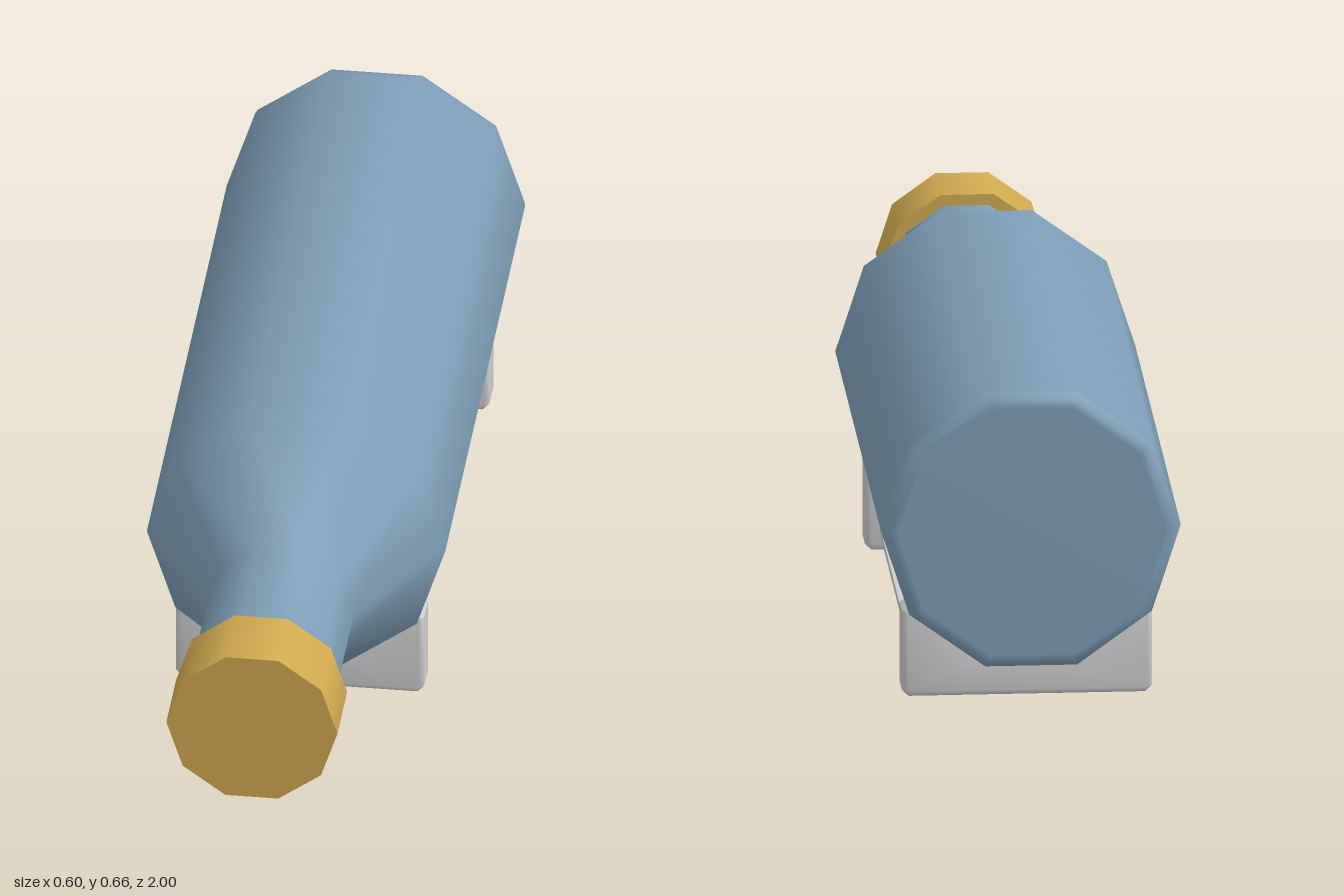
import * as THREE from 'three';
import { toCreasedNormals } from 'three/addons/utils/BufferGeometryUtils.js';

const SIDES = 10;
const AXIS_Y = 0.377;

export function createModel() {
  const model = new THREE.Group();
  const glass = new THREE.MeshStandardMaterial({ color: 0x7d9db5 });
  const gold = new THREE.MeshStandardMaterial({ color: 0xd0aa50 });
  const grey = new THREE.MeshStandardMaterial({ color: 0xcccccc });

  function add(name, geometry, material, x, y, z) {
    const mesh = new THREE.Mesh(geometry, material);
    mesh.name = name;
    mesh.position.set(x, y, z);
    model.add(mesh);
  }

  // Bottle lying along z: rounded base, straight body, shoulder and neck
  const profile = [
    [0, -1], [0.268, -1], [0.284, -0.996], [0.296, -0.985], [0.3, -0.968],
    [0.3, 0.31], [0.148, 0.56], [0.148, 0.87],
  ].map(([r, h]) => new THREE.Vector2(r, h));
  const bottle = new THREE.LatheGeometry(profile, SIDES, Math.PI / 2);
  bottle.rotateX(Math.PI / 2);
  add('bottle', bottle, glass, 0, AXIS_Y, 0);

  // Cap over the end of the neck
  const cap = new THREE.CylinderGeometry(0.172, 0.172, 0.155, SIDES, 1, false, Math.PI / 2);
  cap.rotateX(Math.PI / 2);
  add('cap', cap, gold, -0.002, AXIS_Y, 0.9225);

  // Cradle supports: notched block with softened edges
  const half = [[0.237, 0], [0.25, 0.013], [0.25, 0.178], [0.235, 0.19], [0.093, 0.09]];
  const outline = [...half, ...half.map(([x, y]) => [-x, y]).reverse()];
  const bevel = 0.012;
  const depth = 0.084;
  const support = new THREE.ExtrudeGeometry(
    new THREE.Shape(outline.map(([x, y]) => new THREE.Vector2(x, y))),
    {
      depth: depth - 2 * bevel, bevelEnabled: true, bevelThickness: bevel,
      bevelSize: bevel, bevelOffset: -bevel, bevelSegments: 3,
    },
  );
  support.translate(0, 0, bevel - depth / 2);
  const supportGeometry = toCreasedNormals(support, Math.PI / 5);
  add('frontSupport', supportGeometry, grey, 0, 0, 0.215);
  add('backSupport', supportGeometry, grey, 0, 0, -0.827);

  // Flat rails joining the supports
  const rail = new THREE.BoxGeometry(0.09, 0.016, 1.0);
  add('leftRail', rail, grey, 0.175, 0.042, -0.306);
  add('rightRail', rail, grey, -0.175, 0.042, -0.306);

  return model;
}
